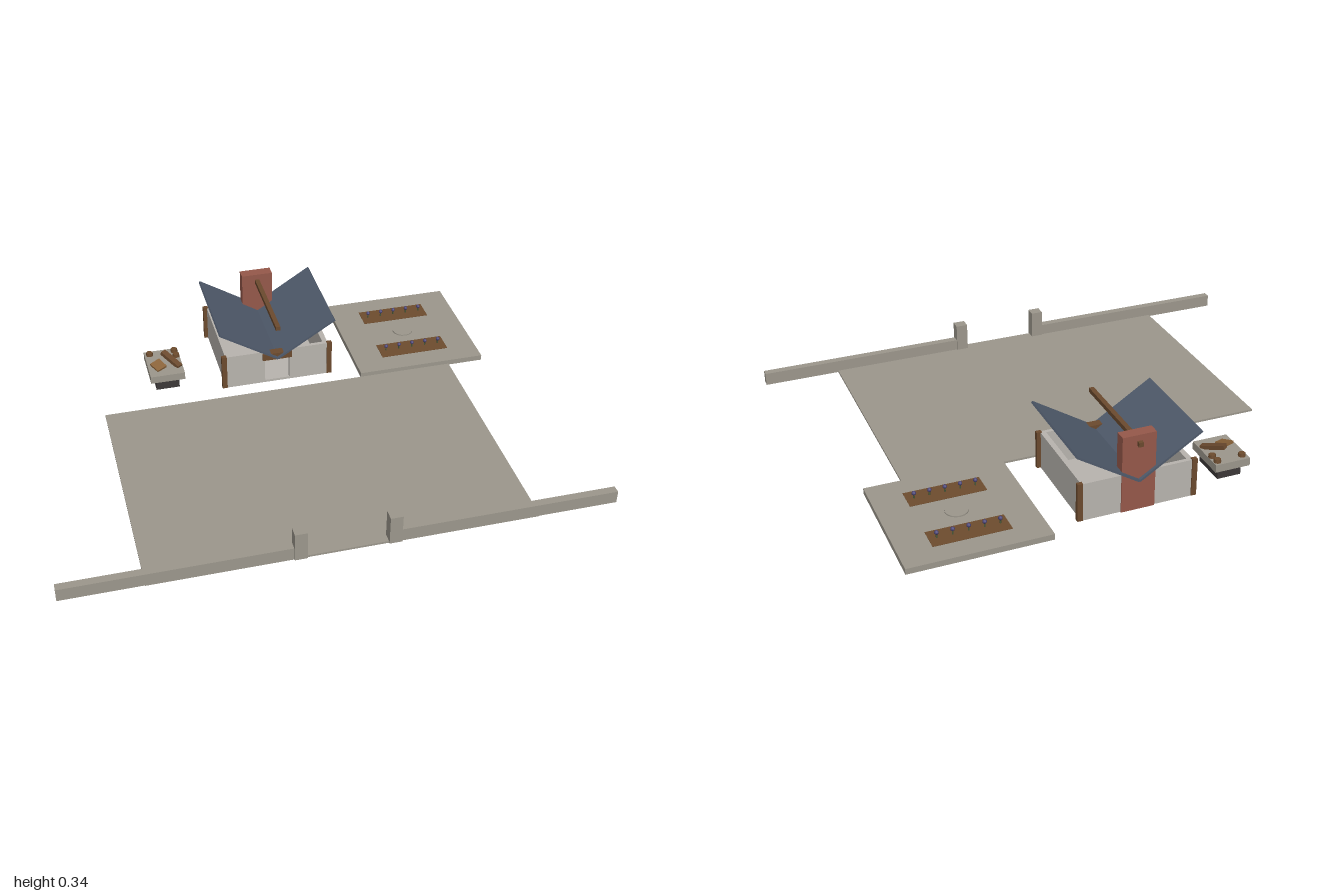
import * as THREE from 'three';

const mat = (color) => new THREE.MeshStandardMaterial({ color });
const M = {
  stone: mat(0x9c978c), plaster: mat(0xb8b4ae), wood: mat(0x6b4a2e), plank: mat(0x8a6238),
  slate: mat(0x4f5a6b), brick: mat(0x95584a), dark: mat(0x3c3838), soil: mat(0x6e4c2e),
  stem: mat(0x4a5a3a), bloom: mat(0x4a4478),
};

// Box given by its min and max on each axis
function box(parent, name, material, [x0, x1], [y0, y1], [z0, z1]) {
  const m = new THREE.Mesh(new THREE.BoxGeometry(x1 - x0, y1 - y0, z1 - z0), material);
  m.position.set((x0 + x1) / 2, (y0 + y1) / 2, (z0 + z1) / 2);
  m.name = name;
  parent.add(m);
  return m;
}

function place(parent, name, geometry, material, x, y, z) {
  const m = new THREE.Mesh(geometry, material);
  m.position.set(x, y, z);
  m.name = name;
  parent.add(m);
  return m;
}

function group(parent, name) {
  const g = new THREE.Group();
  g.name = name;
  parent.add(g);
  return g;
}

// Range mirrored to the chosen side
const side = (s, a, b) => (s > 0 ? [a, b] : [-b, -a]);

function addYard(root) {
  const yard = group(root, 'yard');
  box(yard, 'ground', M.stone, [-0.705, 0.705], [0.044, 0.052], [-0.225, 0.735]);
  for (const s of [-1, 1]) {
    box(yard, 'boundaryWall', M.stone, side(s, 0.17, 1), [0.046, 0.095], [0.705, 0.735]);
    box(yard, 'gatePost', M.stone, side(s, 0.146, 0.192), [0.046, 0.16], [0.7, 0.742]);
  }
}

function addHouse(root) {
  const house = group(root, 'house');
  const zF = -0.29, zB = -0.68, top = 0.192, t = 0.015;
  box(house, 'floor', M.plaster, [-0.21, 0.21], [0.046, 0.056], [zB + 0.004, zF - 0.004]);
  box(house, 'backWall', M.plaster, [-0.21, 0.21], [0.05, top], [zB + 0.004, zB + t + 0.004]);
  for (const s of [-1, 1]) {
    box(house, 'sideWall', M.plaster, side(s, 0.205 - t, 0.21), [0.05, top], [zB + t, zF - t]);
    box(house, 'frontWall', M.plaster, side(s, 0.05, 0.21), [0.05, top], [zF - t - 0.004, zF - 0.004]);
    for (const z of [zF - 0.016, zB]) {
      box(house, 'cornerPost', M.wood, side(s, 0.205, 0.225), [0.048, 0.195], [z, z + 0.016]);
    }
  }
  box(house, 'doorLintel', M.wood, [-0.06, 0.06], [0.155, 0.184], [-0.318, -0.286]);

  // Two roof panels fallen inward into a valley
  const rise = 0.146, run = 0.232;
  for (const s of [-1, 1]) {
    const panel = place(house, 'roofPanel',
      new THREE.BoxGeometry(Math.hypot(rise, run), 0.008, 0.414), M.slate,
      s * run / 2, 0.163 + rise / 2, -0.484);
    panel.rotation.z = s * Math.atan2(rise, run);
  }
  box(house, 'ridgeBeam', M.wood, [-0.009, 0.009], [0.3, 0.317], [-0.695, -0.272]);

  // Chimney, with a hearth facing the door
  box(house, 'chimney', M.brick, [-0.063, 0.063], [0.045, 0.34], [-0.68, -0.637]);
  box(house, 'hearthOpening', M.dark, [-0.038, 0.038], [0.058, 0.11], [-0.65, -0.635]);
  box(house, 'mantel', M.wood, [-0.055, 0.055], [0.118, 0.128], [-0.645, -0.628]);
}

function addGarden(root) {
  const garden = group(root, 'garden');
  const cx = 0.59;
  box(garden, 'gardenSlab', M.stone, [0.332, 0.848], [0.045, 0.067], [-0.743, -0.228]);
  place(garden, 'centreStone', new THREE.CylinderGeometry(0.042, 0.042, 0.01, 16), M.stone, cx, 0.067, -0.485);
  const stemGeo = new THREE.CylinderGeometry(0.003, 0.003, 0.022, 6);
  const bloomGeo = new THREE.SphereGeometry(0.008, 8, 6);
  for (const z of [-0.615, -0.358]) {
    box(garden, 'soilBed', M.soil, [cx - 0.14, cx + 0.14], [0.06, 0.0685], [z - 0.045, z + 0.045]);
    for (let i = -2; i <= 2; i++) {
      place(garden, 'stem', stemGeo, M.stem, cx + i * 0.056, 0.078, z);
      place(garden, 'bloom', bloomGeo, M.bloom, cx + i * 0.056, 0.089, z);
    }
  }
}

function addCellar(root) {
  const cellar = group(root, 'cellar');
  box(cellar, 'pit', M.dark, [-0.475, -0.38], [0, 0.05], [-0.552, -0.412]);
  box(cellar, 'capSlab', M.stone, [-0.497, -0.358], [0.046, 0.077], [-0.577, -0.395]);

  // Broken timbers and rubble lying on the slab
  const beam = place(cellar, 'fallenBeam', new THREE.BoxGeometry(0.024, 0.016, 0.1), M.wood, -0.398, 0.093, -0.478);
  beam.rotation.set(0.3, 0.62, 0, 'YXZ');
  const plank = place(cellar, 'brokenPlank', new THREE.BoxGeometry(0.045, 0.01, 0.05), M.plank, -0.455, 0.086, -0.458);
  plank.rotation.set(0.2, 0.5, 0.15, 'YXZ');
  const rubbleGeo = new THREE.CylinderGeometry(0.013, 0.015, 0.014, 7);
  for (const [x, z] of [[-0.476, -0.552], [-0.374, -0.556], [-0.372, -0.52]]) {
    place(cellar, 'rubble', rubbleGeo, M.soil, x, 0.083, z);
  }
}

export function createModel() {
  const root = new THREE.Group();
  root.name = 'ruinedHomestead';
  addYard(root);
  addHouse(root);
  addGarden(root);
  addCellar(root);
  return root;
}
